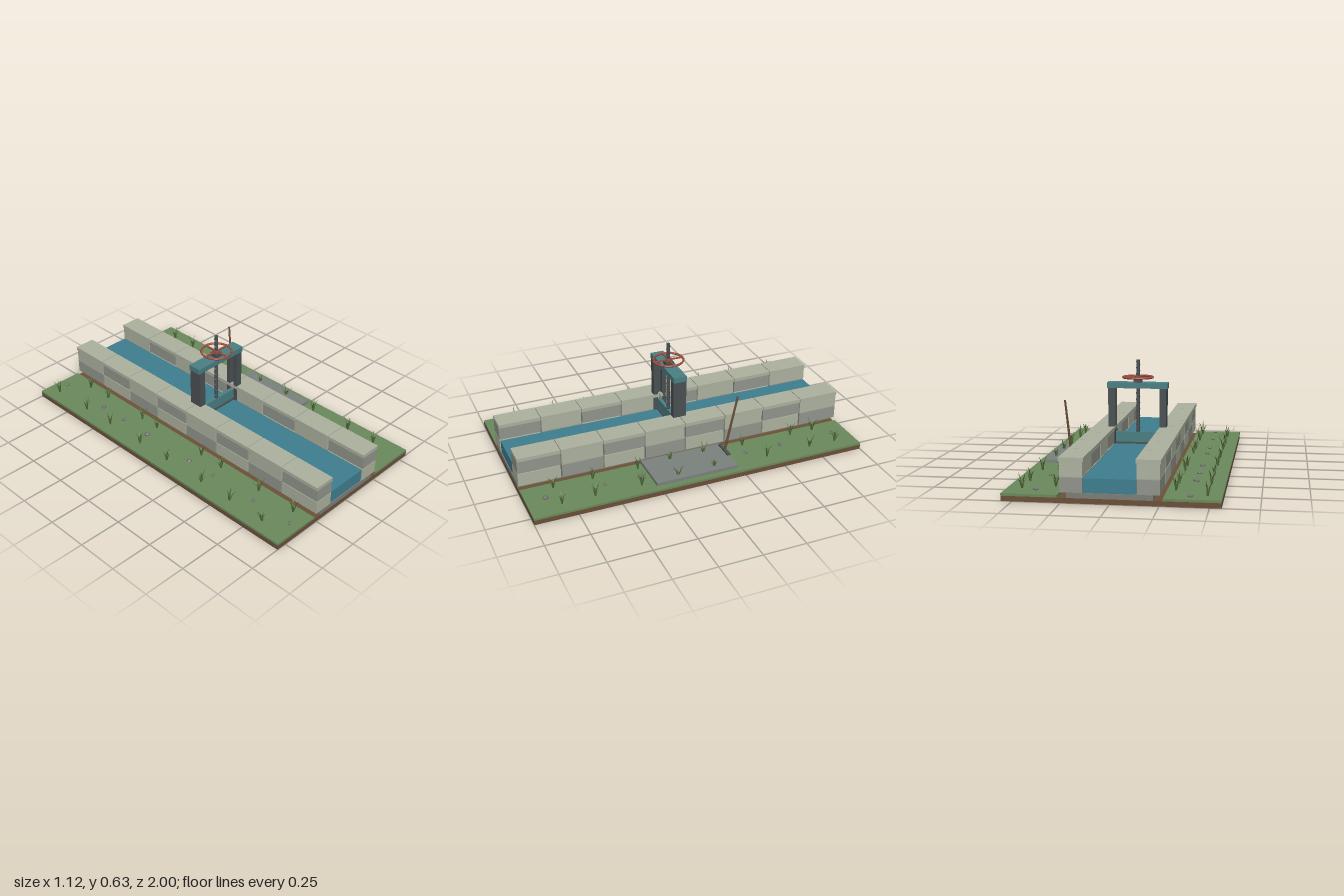
import * as THREE from 'three';

export function createModel() {
  const model = new THREE.Group();
  model.name = 'sluiceGate';

  const mat = (color, opts = {}) => {
    const m = new THREE.MeshStandardMaterial({ flatShading: true, ...opts });
    m.color.set(color);
    return m;
  };
  const M = {
    soil: mat(0x6b5138), grass: mat(0x6c8a5c), floor: mat(0x7d7f78), water: mat(0x3f7f90),
    stoneA: mat(0xaeb3a0), stoneB: mat(0x92968c), cap: mat(0xadb2a0), iron: mat(0x4b5153),
    teal: mat(0x4a8084), rust: mat(0x9c4f40), slab: mat(0x7c837f), wood: mat(0x6e5238),
    pebble: mat(0x73776f), blade: mat(0x56703f, { side: THREE.DoubleSide }),
  };

  let seed = 7;
  const rnd = () => (seed = (seed * 16807) % 2147483647) / 2147483647;

  const add = (name, geo, m, parent = model) => {
    const mesh = new THREE.Mesh(geo, m);
    mesh.name = name;
    parent.add(mesh);
    return mesh;
  };
  // box given by its minimum and maximum corners
  const box = (name, m, x0, x1, y0, y1, z0, z1, parent) => {
    const b = add(name, new THREE.BoxGeometry(x1 - x0, y1 - y0, z1 - z0), m, parent);
    b.position.set((x0 + x1) / 2, (y0 + y1) / 2, (z0 + z1) / 2);
    return b;
  };
  const group = (name) => {
    const g = new THREE.Group();
    g.name = name;
    model.add(g);
    return g;
  };

  // ground, banks, channel bed and water
  box('soilBase', M.soil, -0.56, 0.56, 0, 0.027, -1, 1);
  box('leftBank', M.grass, 0.268, 0.56, 0.027, 0.04, -1, 1);
  box('rightBank', M.grass, -0.56, -0.268, 0.027, 0.04, -1, 1);
  box('channelBed', M.floor, -0.22, 0.22, 0.027, 0.055, -1, 1);
  box('water', M.water, -0.135, 0.135, 0.055, 0.13, -0.995, 0.995);

  // masonry walls: two courses of blocks and a coping stone per bay
  const walls = group('channelWalls');
  for (const s of [-1, 1]) {
    for (let i = 0; i < 8; i++) {
      const z0 = -1 + i * 0.25 + (i ? 0.004 : 0);
      const z1 = -0.75 + i * 0.25 - (i < 7 ? 0.004 : 0);
      const span = (a, b) => (s > 0 ? [a, b] : [-b, -a]);
      for (let row = 0; row < 2; row++) {
        const y = 0.055 + row * 0.081;
        const tone = (i + row) % 2 ? M.stoneA : M.stoneB;
        box('wallBlock', tone, ...span(0.137, 0.254), y, y + 0.077, z0, z1, walls);
      }
      box('copingStone', M.cap, ...span(0.132, 0.26), 0.213, 0.234, z0 - (i ? 0.002 : 0), z1 + (i < 7 ? 0.002 : 0), walls);
    }
  }

  // gate frame: channel-section posts with a guide slot facing the gate
  const frame = group('gateFrame');
  for (const s of [-1, 1]) {
    const shape = new THREE.Shape([
      [0.132, -0.04], [0.172, -0.04], [0.172, 0.04], [0.132, 0.04],
      [0.132, 0.014], [0.157, 0.014], [0.157, -0.014], [0.132, -0.014],
    ].map(([x, z]) => new THREE.Vector2(s * x, z)));
    const post = add('gatePost', new THREE.ExtrudeGeometry(shape, { depth: 0.412, bevelEnabled: false }), M.iron, frame);
    post.rotation.x = -Math.PI / 2;
    post.position.y = 0.055;
  }
  box('crossBeam', M.teal, -0.18, 0.18, 0.463, 0.495, -0.04, 0.04, frame);

  // sliding gate with its stiffening bar
  box('gatePanel', M.teal, -0.135, 0.135, 0.055, 0.2, -0.011, 0.011);
  box('gateBar', M.iron, -0.13, 0.13, 0.128, 0.14, -0.02, 0.02);

  // lifting screw with a spiral thread
  const screw = group('liftingScrew');
  const rod = add('rod', new THREE.CylinderGeometry(0.0105, 0.0105, 0.43, 10), M.iron, screw);
  rod.position.y = 0.415;
  const pts = [];
  const turns = 11;
  for (let i = 0; i <= turns * 10; i++) {
    const a = (i / 10) * Math.PI * 2;
    pts.push(new THREE.Vector3(Math.cos(a) * 0.0105, 0.205 + (0.415 * i) / (turns * 10), Math.sin(a) * 0.0105));
  }
  add('thread', new THREE.TubeGeometry(new THREE.CatmullRomCurve3(pts), 200, 0.0028, 4), M.iron, screw);
  box('nut', M.iron, -0.024, 0.024, 0.495, 0.519, -0.024, 0.024, screw);

  // handwheel
  const wheel = group('handwheel');
  wheel.position.y = 0.526;
  add('rim', new THREE.TorusGeometry(0.088, 0.0065, 6, 28), M.rust, wheel).rotation.x = Math.PI / 2;
  add('hub', new THREE.CylinderGeometry(0.019, 0.019, 0.016, 10), M.rust, wheel);
  box('spoke', M.rust, -0.087, 0.087, -0.004, 0.004, -0.004, 0.004, wheel);
  box('spoke', M.rust, -0.004, 0.004, -0.004, 0.004, -0.087, 0.087, wheel);

  // stone slab and the leaning hoe
  box('pavingSlab', M.slab, 0.27, 0.525, 0.045 - 0.005, 0.059, -0.21, 0.285);
  const hoe = group('hoe');
  box('hoeBlade', M.iron, 0.29, 0.412, 0.057, 0.068, -0.217, -0.197, hoe);
  const a = new THREE.Vector3(0.355, 0.062, -0.207);
  const dir = new THREE.Vector3(0.382, 0.418, -0.266).sub(a);
  const handle = add('hoeHandle', new THREE.CylinderGeometry(0.006, 0.008, dir.length(), 7), M.wood, hoe);
  handle.position.copy(a).addScaledVector(dir, 0.5);
  handle.quaternion.setFromUnitVectors(new THREE.Vector3(0, 1, 0), dir.clone().normalize());

  // grass tufts: tapering blades that arch outward
  const tuft = (x, z) => {
    const g = group('grassTuft');
    g.position.set(x, 0.04, z);
    const start = rnd() * Math.PI * 2;
    for (let i = 0; i < 6; i++) {
      const h = 0.05 + rnd() * 0.04, lean = 0.012 + rnd() * 0.03, w = 0.005;
      const geo = new THREE.BufferGeometry();
      geo.setAttribute('position', new THREE.Float32BufferAttribute([
        0.002, 0, -w, 0.002, 0, w, lean * 0.4, h * 0.6, -w * 0.8, lean * 0.4, h * 0.6, w * 0.8, lean, h, 0,
      ], 3));
      geo.setIndex([0, 2, 1, 1, 2, 3, 2, 4, 3]);
      geo.computeVertexNormals();
      add('grassBlade', geo, M.blade, g).rotation.y = start + i * 1.05 + rnd() * 0.5;
    }
  };
  const tuftRows = [
    [-0.485, [-0.91, -0.64, -0.42, -0.15, 0.08, 0.36, 0.58, 0.82]],
    [-0.315, [-0.81, -0.64, -0.32, -0.19, 0.19, 0.35, 0.64, 0.89]],
    [0.315, [-0.81, -0.66, -0.34, -0.09, 0.12, 0.32, 0.59, 0.82]],
    [0.48, [-0.87, -0.7, -0.42, -0.08, 0.14, 0.36, 0.63, 0.82]],
  ];
  for (const [x, zs] of tuftRows) for (const z of zs) tuft(x, z);

  // pebbles on the banks
  const pebbleRows = [
    [-0.4, [-0.94, -0.58, -0.39, -0.18, 0.18, 0.37, 0.68, 0.94]],
    [0.4, [-0.9, -0.55, -0.32, 0.34, 0.55, 0.89]],
  ];
  for (const [x, zs] of pebbleRows) {
    for (const z of zs) {
      const p = add('pebble', new THREE.DodecahedronGeometry(0.013 + rnd() * 0.005), M.pebble);
      p.position.set(x, 0.045, z);
      p.scale.y = 0.6;
      p.rotation.y = rnd() * 6;
    }
  }
  return model;
}
